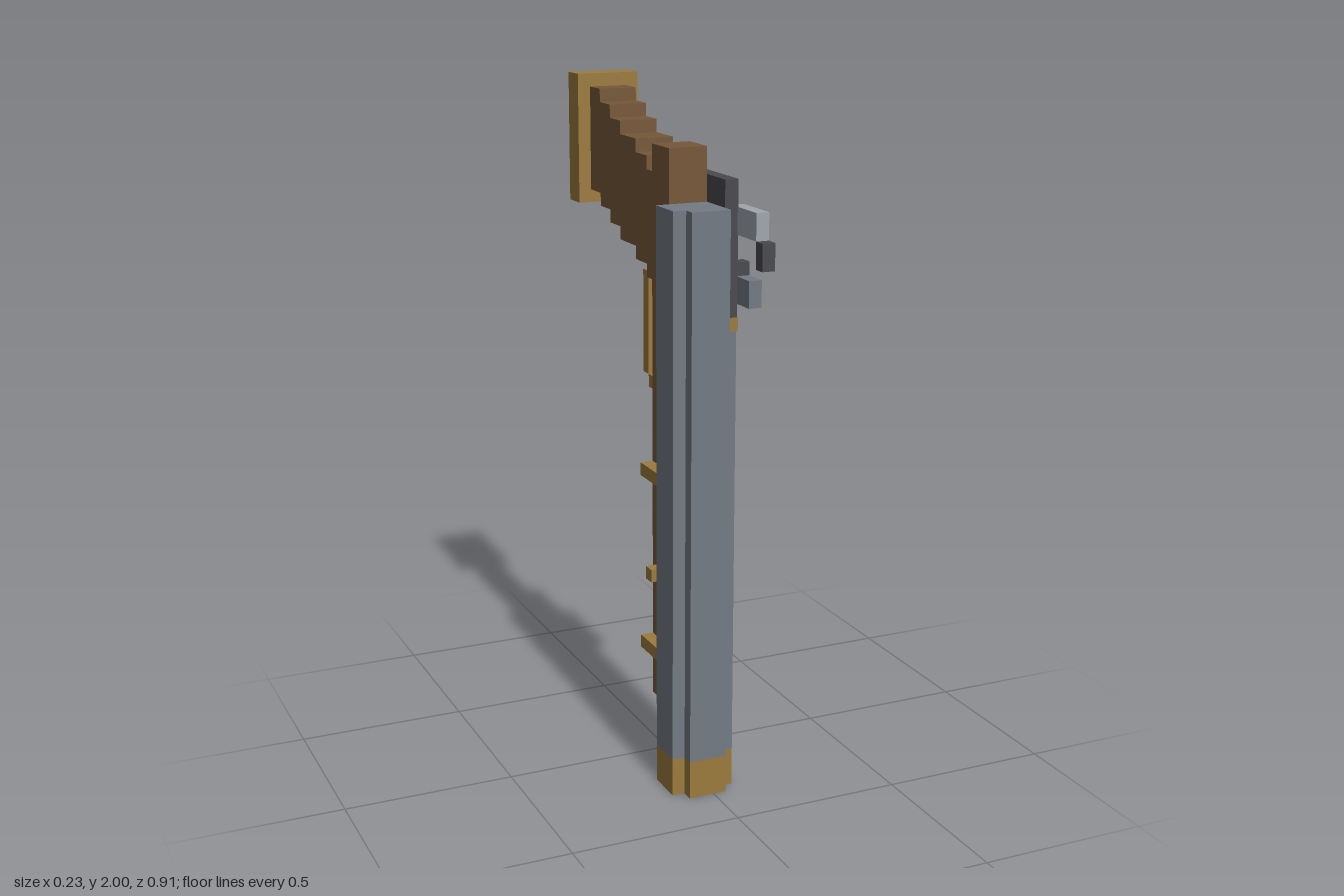
import * as THREE from 'three';

const U = 2 / 53; // one grid cell

const mat = (name, color) => {
  const m = new THREE.MeshStandardMaterial({ color });
  m.name = name;
  return m;
};

export function createModel() {
  const steel = mat('steel', 0x737b84);
  const lightSteel = mat('light steel', 0x9fa6ad);
  const iron = mat('dark iron', 0x4a494e);
  const wood = mat('wood', 0x765838);
  const brass = mat('brass', 0x9c7b3e);
  const black = mat('bore black', 0x2a292b);

  const model = new THREE.Group();
  model.name = 'flintlockGun';

  // Box given by its ranges in grid cells
  const box = (name, material, [x0, x1], [y0, y1], [z0, z1]) => {
    const g = new THREE.BoxGeometry((x1 - x0) * U, (y1 - y0) * U, (z1 - z0) * U);
    const m = new THREE.Mesh(g, material);
    m.position.set((x0 + x1) / 2 * U, (y0 + y1) / 2 * U, (z0 + z1) / 2 * U);
    m.name = name;
    model.add(m);
  };

  // Plus-shaped outline with arm half-length a and half-width b
  const plus = (a, b) => [
    [b, a], [b, b], [a, b], [a, -b], [b, -b], [b, -a],
    [-b, -a], [-b, -b], [-a, -b], [-a, b], [-b, b], [-b, a],
  ].map(([x, y]) => new THREE.Vector2(x * U, y * U));

  // Upright prism centred on the barrel axis
  const prism = (name, material, shape, y0, y1) => {
    const g = new THREE.ExtrudeGeometry(shape, { depth: (y1 - y0) * U, bevelEnabled: false });
    g.rotateX(-Math.PI / 2);
    const m = new THREE.Mesh(g, material);
    m.position.set(-0.5 * U, y0 * U, 6.5 * U);
    m.name = name;
    model.add(m);
  };

  // Barrel: cross-shaped, without its rear rib where the stock begins
  const muzzle = new THREE.Shape(plus(2.5, 1.5));
  muzzle.holes.push(new THREE.Path(plus(1.5, 0.5).reverse()));
  prism('muzzleRing', brass, muzzle, 0, 3);
  prism('bore', black, new THREE.Shape(plus(1.5, 0.5)), 0, 3);
  box('barrelCore', steel, [-3, 2], [3, 45], [5, 8]);
  box('barrelFrontRib', steel, [-2, 1], [3, 45], [8, 9]);
  box('barrelRearRib', steel, [-2, 1], [3, 6], [4, 5]);

  // Fore-end and stepped stock
  box('foreEnd', wood, [-2, 1], [6, 49], [2, 5]);
  const steps = [2, 1, -1, -4, -6, -8, -10];
  for (let i = 0; i < 6; i++) {
    box('stockStep' + (i + 1), wood, [-2, 1], [39 + i, 47 + i], [steps[i + 1], steps[i]]);
  }
  box('buttPlate', brass, [-3, 2], [43, 53], [-12, -10]);

  // Brass bands and pin on both sides of the fore-end
  for (const x of [[-3, -2], [1, 2]]) {
    for (const y of [10, 24]) box('band', brass, x, [y, y + 1], [2, 5]);
    box('pin', brass, x, [16, 17], [3, 4]);
  }

  // Ramrod, trigger and guard
  box('ramrod', iron, [-1, 0], [6, 37], [1, 2]);
  box('trigger', iron, [-1, 0], [34, 35], [0, 1]);
  box('guardFoot', brass, [-1, 0], [30, 31], [-1, 1]);
  box('guardBar', brass, [-1, 0], [31, 39], [-2, -1]);

  // Lock on the left side, slightly proud of the barrel
  box('lockPlate', iron, [1, 2.04], [36, 47], [2, 8.04]);
  box('lockScrewRear', brass, [1, 2.08], [46, 47.04], [1.96, 3]);
  box('lockScrewFront', brass, [1, 2.08], [35.96, 37], [7, 8.08]);
  box('hammer', lightSteel, [2, 3], [43, 45], [7, 11]);
  box('hammerJaw', iron, [2, 3], [41, 43], [11, 12]);
  box('pan', steel, [2, 3], [38, 40], [7, 10]);
  box('panPost', iron, [2, 3], [40, 41], [7, 8]);

  return model;
}
